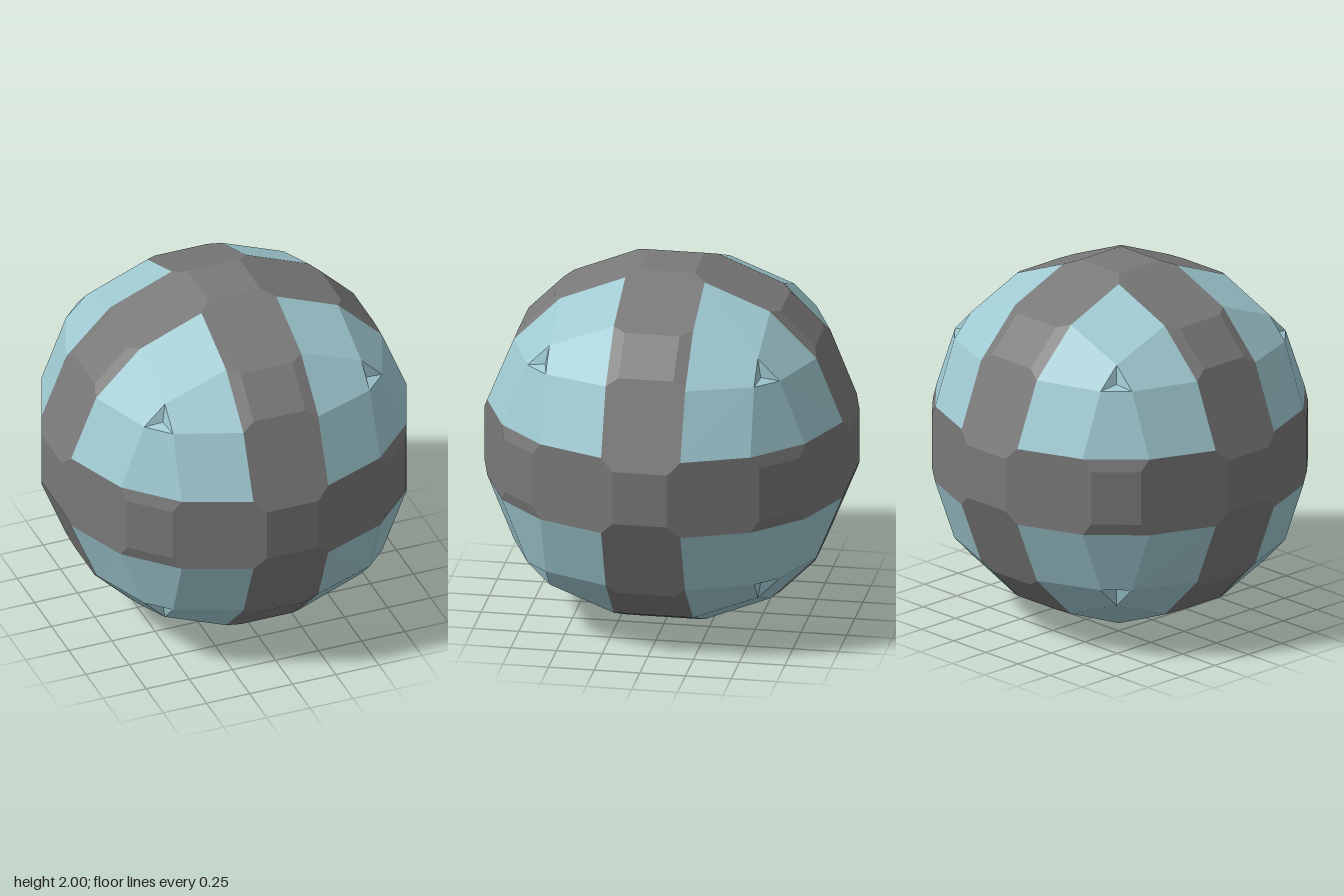
import * as THREE from 'three';

const GREY = new THREE.MeshStandardMaterial({ color: 0x797979, flatShading: true });
const BLUE = new THREE.MeshStandardMaterial({ color: 0x9fc9d1, flatShading: true });

// Key measures of the faceted ball, radius about 1
const IN = 0.15, EDGE = 0.217;            // half-widths of band: flat part and full
const NEAR = 0.62, FAR = 0.81;            // ends of the sloping band plates
const LOW = 0.575, HIGH = 0.828, TOP = 0.973; // band edge corners
const TIP = 0.57, PEAK = 0.69, PIT = 0.59;    // panel centre and its small dimple

// Collects convex polygons, turning each to face outward
function faceSet() {
  const positions = [];
  return {
    add(points) {
      const v = points.map(p => new THREE.Vector3(...p));
      const mid = v.reduce((s, p) => s.add(p), new THREE.Vector3());
      const normal = v[1].clone().sub(v[0]).cross(v[2].clone().sub(v[0]));
      if (normal.dot(mid) < 0) v.reverse();
      for (let i = 1; i < v.length - 1; i++) {
        for (const p of [v[0], v[i], v[i + 1]]) positions.push(p.x, p.y, p.z);
      }
    },
    mesh(name, material) {
      const g = new THREE.BufferGeometry();
      g.setAttribute('position', new THREE.Float32BufferAttribute(positions, 3));
      g.computeVertexNormals();
      const m = new THREE.Mesh(g, material);
      m.name = name;
      return m;
    },
  };
}

// Point from values along three chosen axes
function at(axes, u, v, w) {
  const p = [0, 0, 0];
  p[axes[0]] = u; p[axes[1]] = v; p[axes[2]] = w;
  return p;
}

export function createModel() {
  const model = new THREE.Group();
  model.name = 'facetedBall';
  const ball = new THREE.Group();
  ball.name = 'shell';
  ball.position.y = 1;
  model.add(ball);
  const signs = [-1, 1];

  // Six band crossings: flat square cap with four sloping arm plates
  for (let a = 0; a < 3; a++) for (const s of signs) {
    const set = faceSet();
    const b = (a + 1) % 3, c = (a + 2) % 3;
    set.add([[-IN, -IN], [IN, -IN], [IN, IN], [-IN, IN]].map(([u, v]) => at([a, b, c], s, u, v)));
    for (const [d, e] of [[b, c], [c, b]]) for (const t of signs) {
      const half = [[1, IN, IN], [TOP, EDGE, EDGE], [HIGH, LOW, EDGE], [FAR, NEAR, IN]];
      const other = half.map(([h, l, w]) => [h, l, -w]).reverse();
      set.add([...half, ...other].map(([h, l, w]) => at([a, d, e], s * h, t * l, w)));
    }
    ball.add(set.mesh('bandCrossing', GREY));
  }

  // Twelve bridge plates between crossings, each with two bevelled sides
  for (let a = 0; a < 3; a++) for (const s of signs) for (const t of signs) {
    const axes = [a, (a + 1) % 3, (a + 2) % 3];
    const p = (u, v, w) => at(axes, s * u, t * v, w);
    const set = faceSet();
    set.add([p(FAR, NEAR, -IN), p(FAR, NEAR, IN), p(NEAR, FAR, IN), p(NEAR, FAR, -IN)]);
    for (const k of signs) {
      set.add([p(FAR, NEAR, k * IN), p(NEAR, FAR, k * IN), p(LOW, HIGH, k * EDGE), p(HIGH, LOW, k * EDGE)]);
    }
    ball.add(set.mesh('bandBridge', GREY));
  }

  // Eight panels: three corner kites, three side faces and a central dimple
  for (const x of signs) for (const y of signs) for (const z of signs) {
    const set = faceSet();
    for (let a = 0; a < 3; a++) {
      const axes = [a, (a + 1) % 3, (a + 2) % 3];
      const p = (u, v, w) => {
        const q = at(axes, u, v, w);
        return [q[0] * x, q[1] * y, q[2] * z];
      };
      set.add([p(PEAK, TIP, TIP), p(HIGH, LOW, EDGE), p(TOP, EDGE, EDGE), p(HIGH, EDGE, LOW)]);
      set.add([p(HIGH, LOW, EDGE), p(LOW, HIGH, EDGE), p(TIP, PEAK, TIP), p(PEAK, TIP, TIP)]);
      set.add([p(PEAK, TIP, TIP), p(TIP, PEAK, TIP), p(PIT, PIT, PIT)]);
    }
    ball.add(set.mesh('panel', BLUE));
  }
  return model;
}
